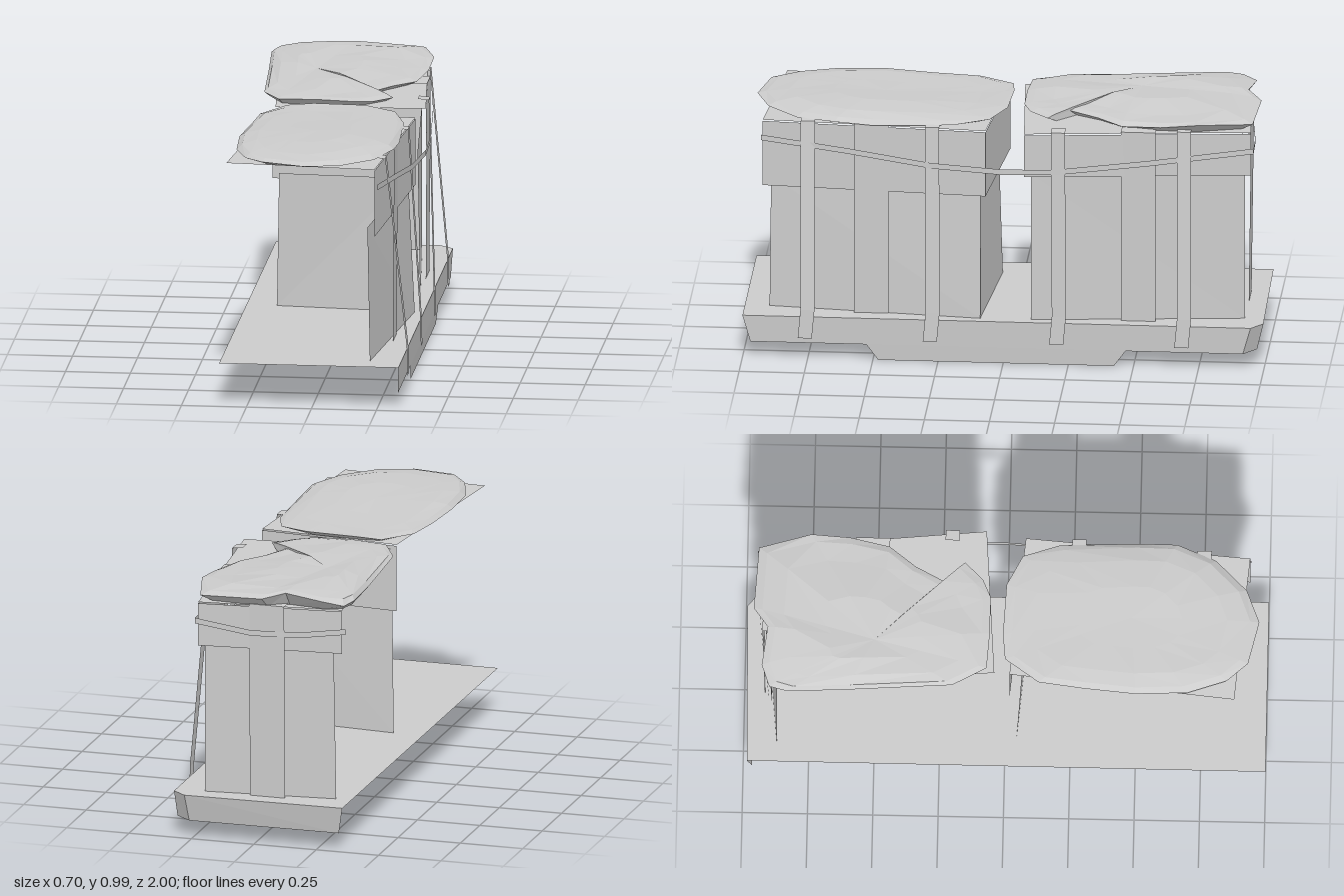
import * as THREE from 'three';

const material = new THREE.MeshStandardMaterial({ color: 0xcccccc, flatShading: true, side: THREE.DoubleSide });

// One mesh from a list of convex polygons, each a loop of [x, y, z] corners.
function sheet(name, polygons) {
  const pos = [];
  for (const p of polygons) {
    for (let i = 1; i < p.length - 1; i++) pos.push(...p[0], ...p[i], ...p[i + 1]);
  }
  const g = new THREE.BufferGeometry();
  g.setAttribute('position', new THREE.Float32BufferAttribute(pos, 3));
  g.computeVertexNormals();
  const mesh = new THREE.Mesh(g, material);
  mesh.name = name;
  return mesh;
}

// Quads joining two rows of points, upper row listed so the outside faces out.
function strip(upper, lower) {
  return upper.slice(1).map((u, i) => [upper[i], lower[i], lower[i + 1], u]);
}

// Flat ribbon along a path; w is the half-width vector.
function ribbon(name, path, w) {
  const shift = (s) => path.map((p) => p.map((v, i) => v + s * w[i]));
  return sheet(name, strip(shift(1), shift(-1)));
}

const at = (y, plan) => plan.map(([x, z]) => [x, y, z]);

// Crate with open front and left sides: tapered walls under a wider lid.
// Plans run front right, back right, back left (and front left for the lid).
function crate(name, lid, lidBottom, wallTop, topPlan, bottomPlan) {
  const group = new THREE.Group();
  group.name = name;
  group.add(sheet('crateWalls', strip(at(wallTop, topPlan), at(0.17, bottomPlan))));
  const walls = lid.slice(0, 3);
  group.add(sheet('crateLid', [
    at(0.93, lid),
    ...strip(at(0.925, walls), at(lidBottom, walls)),
  ]));
  return group;
}

// Lumpy cover: outline of [x, z, y], domed above and tucked in below.
function cover(name, [cx, cz], outline, height, bottom) {
  const ring = (s, lift) => outline.map(([x, z, y]) => {
    const px = cx + (x - cx) * s, pz = cz + (z - cz) * s;
    return [px, y + (height(px, pz) - y) * lift, pz];
  });
  const under = (s) => ring(s, 0).map(([x, , z]) => [x, bottom, z]);
  const rows = [ring(0.4, 1), ring(0.75, 0.85), ring(0.93, 0.5), ring(1, 0), under(0.9)];
  const close = (r) => [...r, r[0]];
  const polys = [];
  for (let i = 0; i < rows.length - 1; i++) polys.push(...strip(close(rows[i]), close(rows[i + 1])));
  const top = [cx, height(cx, cz), cz], low = [cx, bottom, cz];
  const inner = close(rows[0]), base = close(rows[4]);
  for (let i = 0; i < outline.length; i++) {
    polys.push([top, inner[i], inner[i + 1]], [low, base[i + 1], base[i]]);
  }
  return sheet(name, polys);
}

export function createModel() {
  const model = new THREE.Group();
  model.name = 'loadedPlatform';

  // Platform deck, skirts and the lowered middle of the side skirt
  const rim = [[0.335, 1], [0.335, -0.95], [0.28, -0.995], [-0.35, -0.985]];
  const hem = [[0.33, 0.97], [0.33, -0.92], [0.268, -0.97], [-0.33, -0.965]];
  model.add(sheet('deck', [at(0.17, [...rim, [-0.355, 1]])]));
  model.add(sheet('skirt', [
    ...strip(at(0.17, rim), at(0.063, hem)),
    [[0.33, 0.063, 0.525], [0.326, 0, 0.48], [0.326, 0, -0.425], [0.33, 0.063, -0.47]],
  ]));

  // Two crates, turned slightly in opposite directions
  model.add(crate('frontCrate',
    [[0.235, 0.93], [0.3, 0.07], [-0.255, 0.018], [-0.34, 0.88]], 0.665, 0.695,
    [[0.205, 0.9], [0.275, 0.09], [-0.225, 0.06]],
    [[0.215, 0.905], [0.3, 0.09], [-0.235, 0.045]]));
  model.add(crate('backCrate',
    [[0.325, -0.08], [0.24, -0.945], [-0.32, -0.89], [-0.25, -0.04]], 0.757, 0.757,
    [[0.29, -0.105], [0.22, -0.92], [-0.28, -0.87]],
    [[0.3, -0.105], [0.22, -0.92], [-0.29, -0.87]]));

  const lidX = (z) => (z > 0 ? 0.3 - (z - 0.07) * 0.0756 : 0.325 + (z + 0.08) * 0.098);

  // Wide bands hanging from the lids
  for (const z of [0.51, -0.515]) {
    const x = lidX(z);
    model.add(ribbon('wideBand',
      [[x - 0.1, 0.936, z], [x + 0.006, 0.936, z], [x + 0.002, 0.17, z]], [0, 0, -0.066]));
  }
  model.add(ribbon('backBand',
    [[-0.03, 0.936, -0.82], [-0.03, 0.936, -0.93], [-0.03, 0.155, -0.92]], [-0.07, 0, 0]));

  // Narrow straps tied down to the skirt
  for (const z of [0.755, 0.275, -0.21, -0.69]) {
    const x = lidX(z);
    model.add(ribbon('strap',
      [[x - 0.03, 0.942, z], [x + 0.012, 0.938, z], [0.343, 0.2, z - 0.005], [0.347, 0.087, z + 0.005]],
      [0, 0, -0.027]));
  }

  // Slack belt around the side and back of both crates
  model.add(ribbon('belt', [
    [0.247, 0.862, 0.935], [0.287, 0.83, 0.6], [0.312, 0.788, 0.28], [0.333, 0.776, 0],
    [0.33, 0.78, -0.2], [0.302, 0.815, -0.55], [0.25, 0.858, -0.955],
    [0.03, 0.825, -0.945], [-0.15, 0.825, -0.925], [-0.337, 0.848, -0.9],
  ], [0, 0.011, 0]));

  // Crumpled covers lying on the lids
  model.add(cover('frontCover', [-0.03, 0.48], [
    [-0.2, 0, 0.95], [-0.29, 0.13, 0.945], [-0.31, 0.3, 0.94], [-0.33, 0.5, 0.945],
    [-0.32, 0.7, 0.94], [-0.27, 0.85, 0.945], [-0.2, 0.93, 0.95], [-0.03, 0.97, 0.945],
    [0.1, 0.92, 0.94], [0.22, 0.8, 0.938], [0.28, 0.65, 0.945], [0.285, 0.5, 0.935],
    [0.27, 0.2, 0.94], [0.22, 0.06, 0.95], [0.1, 0, 0.957], [-0.1, -0.01, 0.957],
  ], (x, z) => 0.965 + 0.008 * Math.sin(5 * z - 1.6) + 0.004 * Math.sin(14 * x), 0.932));
  model.add(cover('backCover', [-0.14, -0.5], [
    [0.05, -0.06, 0.955], [-0.1, -0.06, 0.96], [-0.24, -0.07, 0.955], [-0.31, -0.2, 0.95],
    [-0.335, -0.6, 0.945], [-0.35, -0.83, 0.955], [-0.33, -0.9, 0.95], [-0.25, -0.93, 0.97],
    [-0.1, -0.91, 0.985], [-0.02, -0.965, 0.97], [0.23, -0.95, 0.96], [0.285, -0.75, 0.97],
    [0.28, -0.6, 0.955], [0.25, -0.45, 0.945], [0.17, -0.35, 0.95], [0.11, -0.24, 0.955],
    [0.19, -0.16, 0.95], [0.12, -0.09, 0.95],
  ], (x, z) => 0.98 - 0.032 * (z + 0.45) - 0.1 * (x + 0.15) ** 2 + 0.006 * Math.sin(25 * x + 9 * z), 0.928));

  return model;
}
